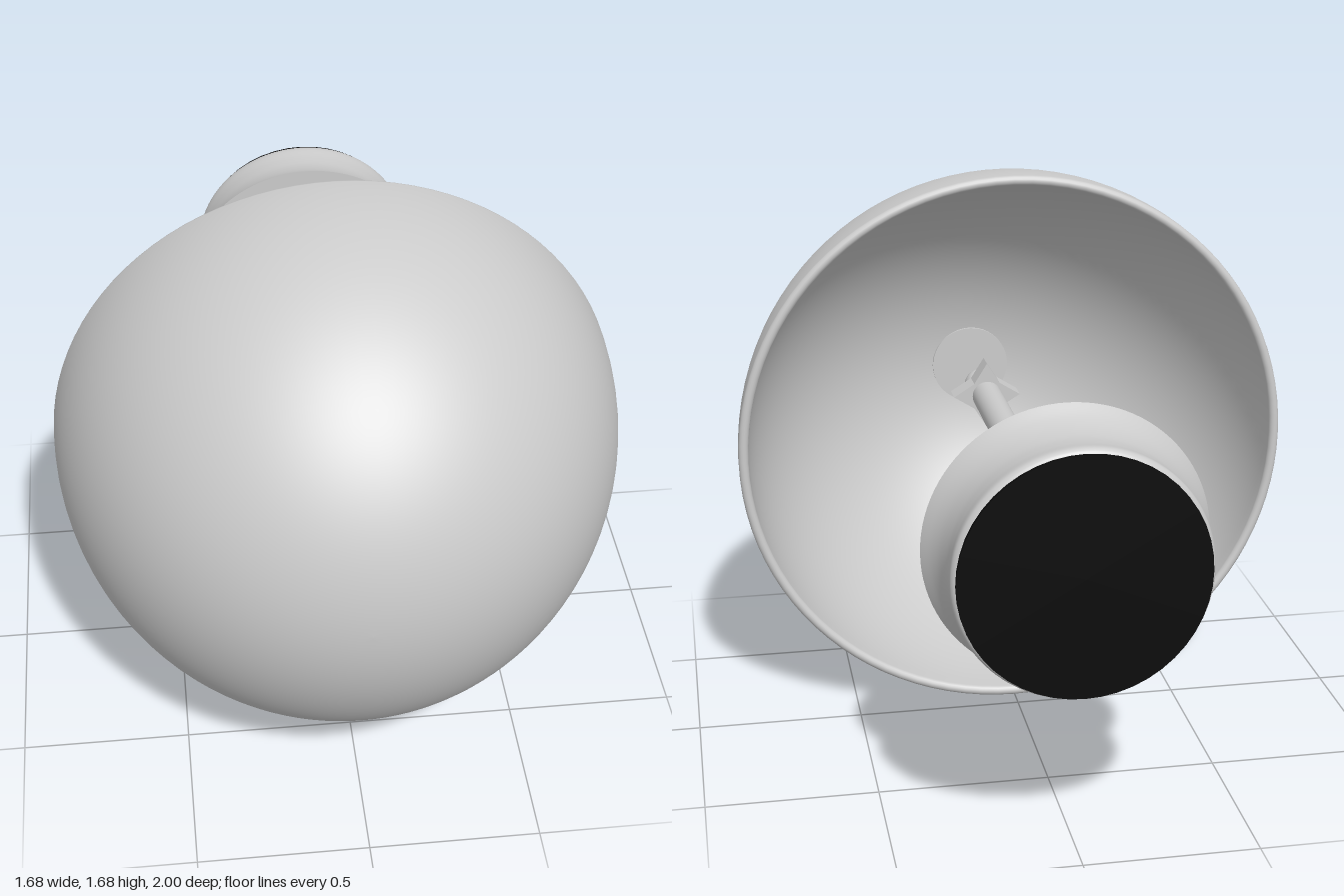
import * as THREE from 'three';

const grey = new THREE.MeshStandardMaterial({ color: 0xcccccc });
const black = new THREE.MeshStandardMaterial({ color: 0x0a0a0a });
const SEG = 96;

export function createModel() {
  const model = new THREE.Group();
  model.position.y = 0.84; // everything turns around one horizontal axis
  const root = new THREE.Group();
  root.add(model);

  const add = (name, geometry, material = grey) => {
    const mesh = new THREE.Mesh(geometry, material);
    mesh.name = name;
    model.add(mesh);
    return mesh;
  };
  // profile points are [radius, z]; z rising gives an outward surface
  const lathe = (name, pts, material) =>
    add(name, new THREE.LatheGeometry(pts.map(([r, z]) => new THREE.Vector2(r, z)), SEG).rotateX(Math.PI / 2), material);
  const rod = (name, r, z0, z1, material) =>
    add(name, new THREE.CylinderGeometry(r, r, z1 - z0, SEG / 2).rotateX(Math.PI / 2).translate(0, 0, (z0 + z1) / 2), material);

  // hollow dome shade: inside, rounded rim, outside
  const dome = [];
  const N = 40, rim = 0.065;
  for (let i = 0; i <= N; i++) {
    const a = (1 - i / N) * Math.PI / 2;
    dome.push([0.81 * Math.cos(a), rim + 0.9 * Math.sin(a)]);
  }
  for (let i = 1; i < 8; i++) {
    const a = Math.PI + (i / 8) * Math.PI;
    dome.push([0.825 + 0.015 * Math.cos(a), rim + 0.015 * Math.sin(a)]);
  }
  for (let i = 0; i <= N; i++) {
    const a = (i / N) * Math.PI / 2;
    dome.push([Math.max(0, 0.84 * Math.cos(a)), rim + (1 - rim) * Math.sin(a)]);
  }
  dome[0][0] = 0;
  lathe('domeShade', dome);

  // flat round boss inside the tip of the dome
  rod('innerBoss', 0.13, 0.945, 0.97);

  // stem with a ball end
  rod('stem', 0.048, -0.75, 0.7);
  add('stemBall', new THREE.SphereGeometry(0.056, 32, 20).translate(0, 0, 0.7));

  // four-pointed bracket near the end of the stem
  const star = new THREE.Shape();
  for (let i = 0; i < 8; i++) {
    const r = i % 2 ? 0.06 : 0.11, a = (i * Math.PI) / 4;
    star[i ? 'lineTo' : 'moveTo'](r * Math.cos(a), r * Math.sin(a));
  }
  star.closePath();
  add('starBracket', new THREE.ExtrudeGeometry(star, { depth: 0.07, bevelEnabled: false }).translate(0, 0, 0.58));

  // waisted mounting base with a flat front
  const waist = new THREE.SplineCurve([
    [0.336, -0.99], [0.347, -0.982], [0.352, -0.965], [0.347, -0.92],
    [0.346, -0.87], [0.355, -0.82], [0.372, -0.78], [0.398, -0.742],
  ].map(([r, z]) => new THREE.Vector2(r, z)));
  lathe('baseWall', waist.getPoints(40).map((p) => [p.x, p.y]));
  lathe('baseFront', [[0.398, -0.742], [0, -0.742]]);

  // dark pad at the back
  rod('backPad', 0.34, -1, -0.988, black);

  return root;
}
